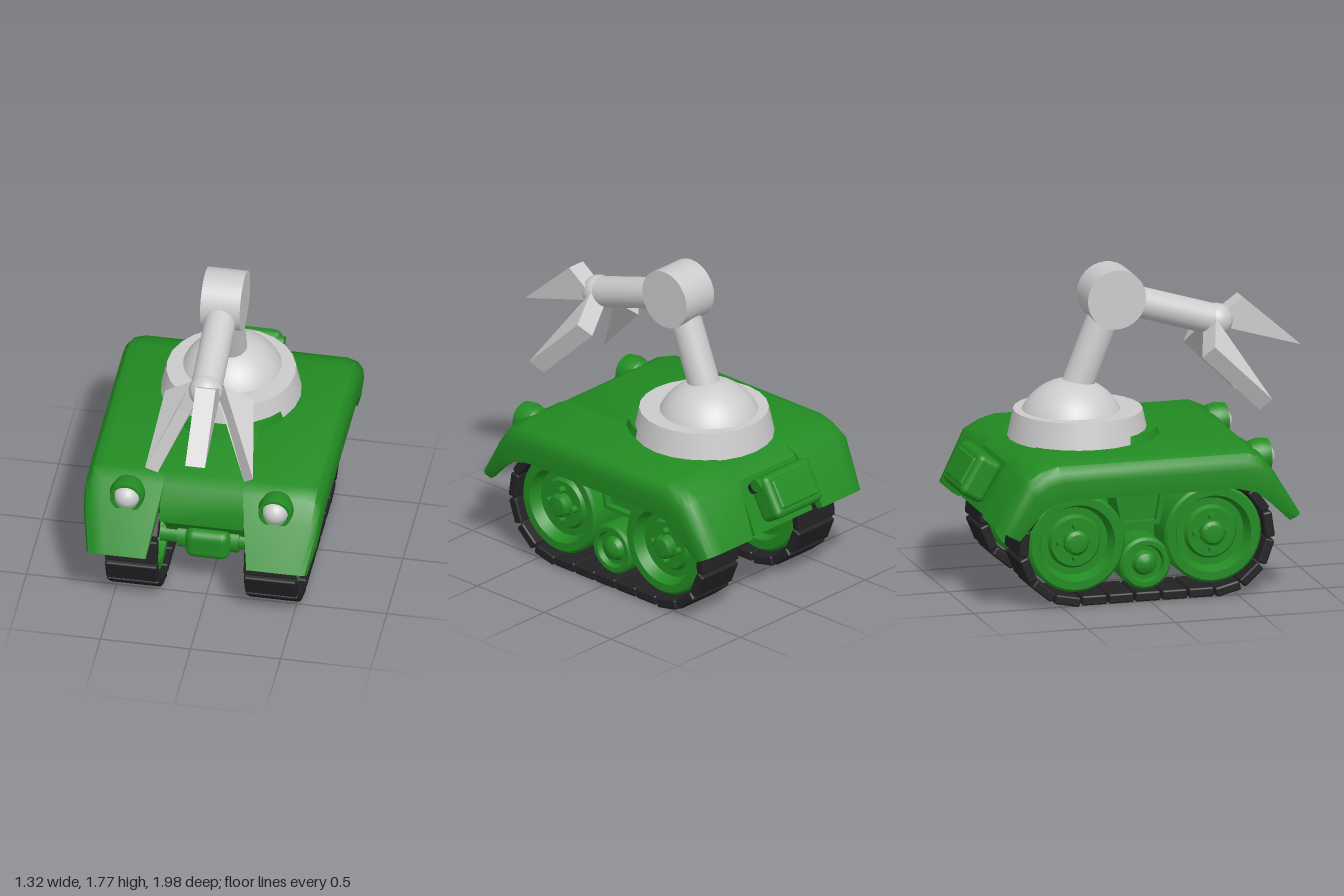
import * as THREE from 'three';
import { toCreasedNormals } from 'three/addons/utils/BufferGeometryUtils.js';
import { RoundedBoxGeometry } from 'three/addons/geometries/RoundedBoxGeometry.js';

const V = (x, y, z) => new THREE.Vector3(x, y, z);
const green = new THREE.MeshStandardMaterial({ color: 0x228b22, side: THREE.DoubleSide });
const black = new THREE.MeshStandardMaterial({ color: 0x222224 });
const grey = new THREE.MeshStandardMaterial({ color: 0xcccccc });
const greyFlat = new THREE.MeshStandardMaterial({ color: 0xcccccc, flatShading: true, side: THREE.DoubleSide });

function add(parent, name, geometry, material, x = 0, y = 0, z = 0) {
  const mesh = new THREE.Mesh(geometry, material);
  mesh.name = name;
  mesh.position.set(x, y, z);
  parent.add(mesh);
  return mesh;
}

// Cylinder between two points
function rod(parent, name, a, b, r, material) {
  const m = add(parent, name, new THREE.CylinderGeometry(r, r, a.distanceTo(b), 32), material);
  m.position.copy(a).add(b).multiplyScalar(0.5);
  m.quaternion.setFromUnitVectors(V(0, 1, 0), b.clone().sub(a).normalize());
  return m;
}

const lathe = (pts, n = 40) =>
  toCreasedNormals(new THREE.LatheGeometry(pts.map(p => new THREE.Vector2(...p)), n), 0.5);

// Side profile of [z, y] points, extruded along x between x0 and x1
function slab(pts, x0, x1, hole) {
  const toShape = list => list.map(([z, y]) => new THREE.Vector2(-z, y));
  const shape = new THREE.Shape(toShape(pts));
  if (hole) shape.holes.push(new THREE.Path(toShape(hole)));
  const g = new THREE.ExtrudeGeometry(shape, { depth: x1 - x0, bevelEnabled: false });
  g.rotateY(Math.PI / 2).translate(x0, 0, 0);
  return toCreasedNormals(g, 0.5);
}

// Closed loft through rings of equal length, capped by pairing the ring's two halves
function loft(rings) {
  const n = rings[0].length, idx = [];
  const quad = (a, b, c, d) => idx.push(a, b, c, a, c, d);
  for (let i = 0; i < rings.length - 1; i++)
    for (let j = 0; j < n; j++) {
      const k = (j + 1) % n;
      quad(i * n + j, i * n + k, (i + 1) * n + k, (i + 1) * n + j);
    }
  for (let j = 0; j < n / 2 - 1; j++) {
    const o = (rings.length - 1) * n;
    quad(j, n - 1 - j, n - 2 - j, j + 1);
    quad(o + j, o + j + 1, o + n - 2 - j, o + n - 1 - j);
  }
  const g = new THREE.BufferGeometry().setFromPoints(rings.flat());
  g.setIndex(idx);
  return toCreasedNormals(g, 0.6);
}

// Fender stations: upper edge z, y; skirt edge z, y; outer x; inner x
const stations = [
  [0.84, 0.455, 0.77, 0.42, 0.61, 0.28],
  [0.695, 0.685, 0.66, 0.525, 0.65, 0.24],
  [0.61, 0.80, 0.57, 0.60, 0.66, 0.22],
  [0.53, 0.835, 0.46, 0.63, 0.66, 0.22],
  [-0.56, 0.835, -0.50, 0.63, 0.66, 0.22],
  [-0.65, 0.81, -0.58, 0.615, 0.66, 0.22],
  [-0.74, 0.76, -0.65, 0.57, 0.66, 0.23],
  [-0.89, 0.475, -0.77, 0.41, 0.62, 0.28],
];
// Ring points: inset from the outer x (null = inner x), blend from upper edge to skirt
const section = [[null, 0], [0.1, 0], [0.04, 0.08], [0.01, 0.25], [0, 0.5], [0.01, 1],
  [0.05, 1], [0.05, 0.6], [0.07, 0.4], [0.1, 0.35], [0.14, 0.33], [null, 0.33]];

function fender(s) {
  return loft(stations.map(([z, y, z2, y2, w, xi]) => section.map(([inset, t]) =>
    V(s * (inset === null ? xi : w - inset), y + (y2 - y) * t, z + (z2 - z) * t))));
}

// Claw: four-cornered profile swept by an offset vector
function claw(corners, w) {
  const a = corners.map(c => V(...c));
  return loft([a, a.map(p => p.clone().add(w))]);
}

const wheelProfile = [[0, -0.125], [0.06, -0.12], [0.07, -0.08], [0.19, -0.07], [0.21, -0.115], [0.26, -0.115],
  [0.275, -0.1], [0.275, 0.1], [0.26, 0.115], [0.215, 0.115], [0.203, 0.08], [0.19, 0.05], [0.15, 0.05],
  [0.135, 0.075], [0.07, 0.075], [0.068, 0.11], [0.05, 0.125], [0, 0.13]];
const rollerProfile = [[0, -0.1], [0.13, -0.1], [0.145, -0.085], [0.145, 0.085], [0.13, 0.1], [0.105, 0.1],
  [0.095, 0.07], [0.07, 0.07], [0.055, 0.1], [0.03, 0.115], [0, 0.12]];

function buildTrack(s) {
  const g = new THREE.Group();
  g.name = s > 0 ? 'leftTrack' : 'rightTrack';
  const zf = 0.365, zb = -0.41, y0 = 0.3375, r = 0.31, run = zf - zb, arc = Math.PI * r;
  const n = 23, total = 2 * (run + arc), pitch = total / n;
  const pad = new RoundedBoxGeometry(0.29, 0.055, pitch - 0.008, 2, 0.012);
  for (let i = 0; i < n; i++) {
    // Walk the loop: bottom run, rear arc, top run, front arc
    let d = (i + 0.5) * pitch, z, y, a;
    if (d < run) [z, y, a] = [zf - d, y0 - r, 0];
    else if ((d -= run) < arc) { a = d / r; z = zb - r * Math.sin(a); y = y0 - r * Math.cos(a); }
    else if ((d -= arc) < run) [z, y, a] = [zb + d, y0 + r, Math.PI];
    else { a = Math.PI + (d - run) / r; z = zf - r * Math.sin(a); y = y0 - r * Math.cos(a); }
    add(g, 'trackPad', pad, black, s * 0.385, y, z).rotation.x = a;
  }
  for (const z of [zf, zb]) {
    const wheel = new THREE.Group();
    wheel.name = 'roadWheel';
    wheel.position.set(s * 0.38, 0.345, z);
    wheel.rotation.z = -s * Math.PI / 2;
    add(wheel, 'wheelDisc', lathe(wheelProfile, 48), green);
    for (let k = 0; k < 4; k++) {
      const t = k * Math.PI / 2;
      add(wheel, 'wheelBolt', new THREE.CylinderGeometry(0.018, 0.02, 0.05, 12), green,
        0.09 * Math.cos(t), 0.085, 0.09 * Math.sin(t));
    }
    g.add(wheel);
    rod(g, 'axle', V(s * 0.1, 0.345, z), V(s * 0.3, 0.345, z), 0.06, green);
  }
  add(g, 'roller', lathe(rollerProfile), green, s * 0.38, 0.2, -0.015).rotation.z = -s * Math.PI / 2;
  // Framed bracket between the wheels
  const outer = [[0.11, 0.61], [-0.18, 0.61], [-0.14, 0.41], [0.075, 0.41]];
  const inner = [[0.085, 0.6], [-0.155, 0.6], [-0.12, 0.43], [0.055, 0.43]];
  add(g, 'bracket', slab(outer, s > 0 ? 0.2 : -0.4, s > 0 ? 0.4 : -0.2), green);
  add(g, 'bracketFrame', slab(outer, s > 0 ? 0.4 : -0.44, s > 0 ? 0.44 : -0.4, inner), green);
  return g;
}

export function createModel() {
  const model = new THREE.Group();
  model.name = 'trackedRobot';

  // Hull and hood
  add(model, 'hull', slab([[0.66, 0.6], [0.45, 0.4], [0.38, 0.25], [-0.35, 0.25], [-0.76, 0.41],
    [-0.82, 0.5], [-0.72, 0.74], [0.58, 0.74]], -0.235, 0.235), green);
  add(model, 'hoodCentre', slab([[0.67, 0.59], [0.665, 0.69], [0.6, 0.8], [0.53, 0.835], [-0.56, 0.835],
    [-0.65, 0.81], [-0.73, 0.755], [-0.86, 0.47], [-0.75, 0.42], [-0.6, 0.6], [0.5, 0.6]], -0.23, 0.23), green);
  add(model, 'turretCollar', new THREE.CylinderGeometry(0.33, 0.345, 0.05, 16), green, 0, 0.852, -0.15);
  const lampHousing = lathe([[0, -0.1], [0.05, -0.085], [0.085, -0.05], [0.098, 0], [0.09, 0.055],
    [0.075, 0.055], [0.072, 0.01], [0, 0.01]]);
  for (const s of [1, -1]) {
    add(model, s > 0 ? 'leftFender' : 'rightFender', fender(s), green);
    add(model, 'headlightHousing', lampHousing, green, s * 0.412, 0.748, 0.645).rotation.x = Math.PI / 2;
    add(model, 'headlightLens', new THREE.SphereGeometry(0.07, 32, 20), grey, s * 0.412, 0.745, 0.665);
    model.add(buildTrack(s));
    rod(model, 'driveFlange', V(s * 0.12, 0.32, 0.4), V(s * 0.17, 0.32, 0.4), 0.075, green);
    rod(model, 'driveShaft', V(s * 0.16, 0.32, 0.4), V(s * 0.27, 0.32, 0.4), 0.055, green);
  }
  add(model, 'driveHousing', new RoundedBoxGeometry(0.25, 0.18, 0.2, 4, 0.05), green, 0, 0.317, 0.41);
  rod(model, 'rollerAxle', V(-0.35, 0.2, -0.015), V(0.35, 0.2, -0.015), 0.035, green);

  // Tilted canister on the back
  const canister = new THREE.Group();
  canister.name = 'rearCanister';
  canister.position.set(-0.01, 0.665, -0.865);
  canister.rotation.x = 0.53;
  add(canister, 'canisterBody', new RoundedBoxGeometry(0.37, 0.25, 0.15, 4, 0.035), green);
  add(canister, 'canisterPanel', new RoundedBoxGeometry(0.29, 0.17, 0.03, 3, 0.014), green, 0, 0, -0.072);
  rod(canister, 'canisterSpout', V(0.14, 0.09, -0.01), V(0.205, 0.09, -0.01), 0.035, green);
  rod(canister, 'canisterCap', V(0.14, 0.08, 0.035), V(0.195, 0.08, 0.035), 0.03, black);
  model.add(canister);

  // Turret and arm
  add(model, 'turretBase', new THREE.CylinderGeometry(0.355, 0.387, 0.15, 24), grey, 0, 0.905, -0.262);
  add(model, 'turretDome', new THREE.SphereGeometry(0.3, 40, 24), grey, 0, 0.85, -0.3);
  const elbow = V(0, 1.6, -0.07), wrist = V(0, 1.42, 0.525);
  rod(model, 'upperArm', V(0, 1.0, -0.31), elbow, 0.088, grey);
  rod(model, 'elbowJoint', V(-0.11, 1.6, -0.07), V(0.11, 1.6, -0.07), 0.166, grey);
  rod(model, 'foreArm', elbow, wrist, 0.086, grey);
  add(model, 'wristBall', new THREE.SphereGeometry(0.093, 32, 20), grey, ...wrist);

  // Three claws
  add(model, 'topClaw', claw([[-0.03, 1.46, 0.55], [-0.03, 1.545, 0.67], [-0.03, 1.255, 1.0],
    [-0.03, 1.385, 0.56]], V(0.11, 0, 0)), greyFlat);
  for (const s of [1, -1])
    add(model, s > 0 ? 'leftClaw' : 'rightClaw', claw([[s * 0.09, 1.45, 0.5], [s * 0.245, 1.327, 0.45],
      [s * 0.3, 1.025, 0.76], [s * 0.155, 1.3, 0.565]], V(-s * 0.06, -0.068, -0.055)), greyFlat, 0.005);
  return model;
}
